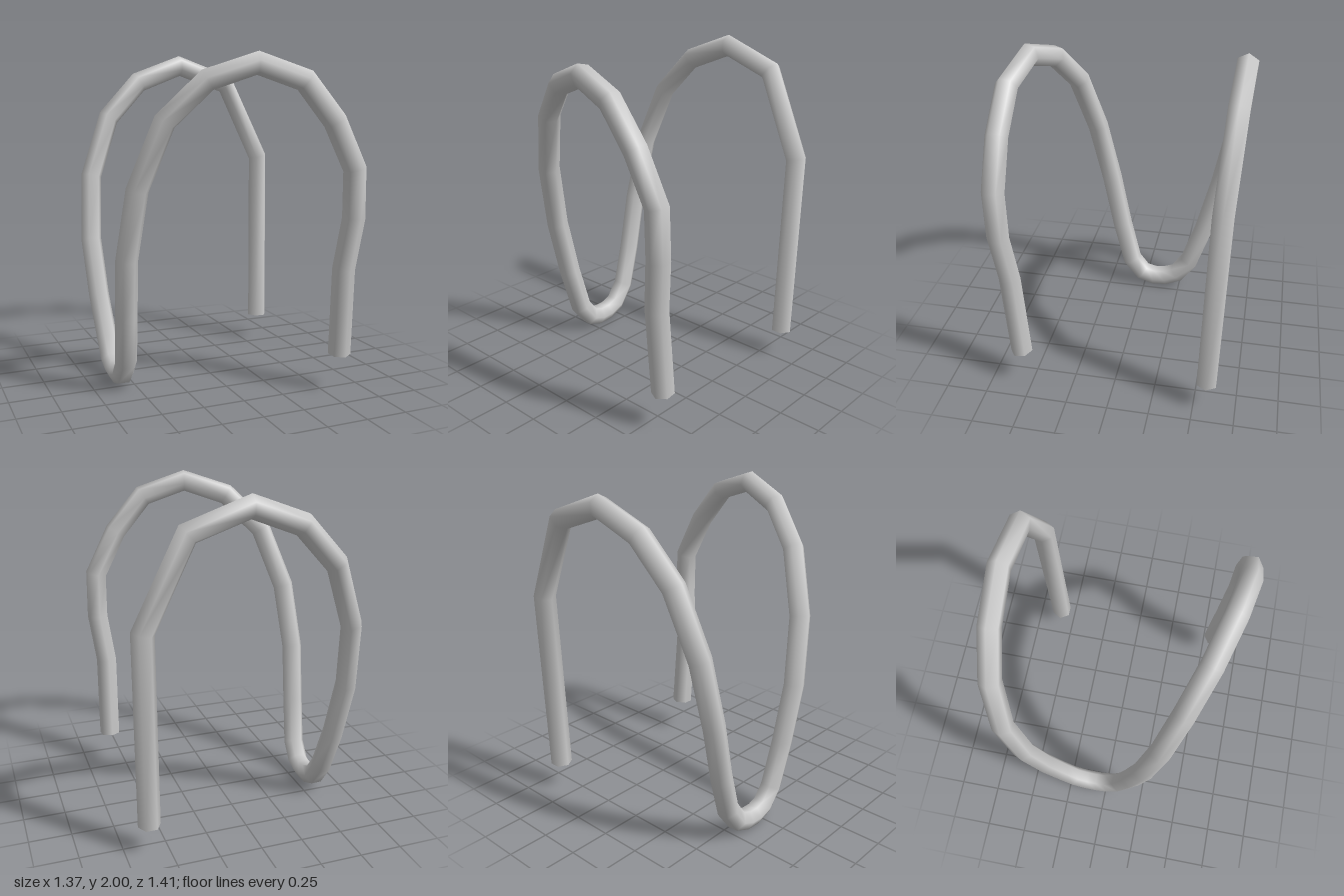
import * as THREE from 'three';

const SIDES = 6;
const RADIUS = 0.066;

// Centre line, from the back foot over both arches to the front foot
const PATH = [
  [0.61, 0.18, -0.573], [0.62, 1.32, -0.605], [0.385, 1.82, -0.635], [0.05, 1.94, -0.648],
  [-0.24, 1.83, -0.643], [-0.455, 1.6, -0.623], [-0.59, 1.23, -0.575], [-0.62, 0.83, -0.495],
  [-0.6, 0.48, -0.405], [-0.578, 0.22, -0.315], [-0.576, 0.105, -0.23], [-0.576, 0.07, -0.145],
  [-0.576, 0.065, -0.065], [-0.576, 0.09, 0.015], [-0.578, 0.19, 0.095], [-0.595, 0.475, 0.17],
  [-0.61, 0.83, 0.245], [-0.57, 1.23, 0.328], [-0.44, 1.6, 0.415], [-0.23, 1.82, 0.505],
  [0.03, 1.91, 0.58], [0.29, 1.82, 0.63], [0.475, 1.6, 0.642], [0.615, 1.33, 0.638],
  [0.62, 1.05, 0.632], [0.582, 0.75, 0.6], [0.592, 0.23, 0.56],
].map((p) => new THREE.Vector3(...p));

// Polyline whose rings sit exactly on the bends, along the bisecting planes
class BentPath extends THREE.Curve {
  getPointAt(t, target = new THREE.Vector3()) {
    return target.copy(PATH[Math.round(t * (PATH.length - 1))]);
  }
  getTangentAt(t, target = new THREE.Vector3()) {
    const i = Math.round(t * (PATH.length - 1));
    const before = PATH[i].clone().sub(PATH[Math.max(i - 1, 0)]).normalize();
    const after = PATH[Math.min(i + 1, PATH.length - 1)].clone().sub(PATH[i]).normalize();
    return target.copy(before).add(after).normalize();
  }
}

// Flat cap over one ring of the tube
function endCap(tube, ring, flip) {
  const pos = tube.attributes.position;
  const points = [];
  for (let i = 0; i < SIDES; i++) {
    points.push(new THREE.Vector3().fromBufferAttribute(pos, ring * (SIDES + 1) + i));
  }
  const corners = [];
  for (let i = 1; i < SIDES - 1; i++) {
    corners.push(points[0], ...(flip ? [points[i + 1], points[i]] : [points[i], points[i + 1]]));
  }
  const geometry = new THREE.BufferGeometry().setFromPoints(corners);
  geometry.computeVertexNormals();
  return geometry;
}

export function createModel() {
  const group = new THREE.Group();
  group.name = 'bentTubeRack';
  const material = new THREE.MeshStandardMaterial({ color: 0xcccccc, side: THREE.DoubleSide });
  const add = (name, geometry) => {
    const mesh = new THREE.Mesh(geometry, material);
    mesh.name = name;
    group.add(mesh);
  };

  const last = PATH.length - 1;
  const tube = new THREE.TubeGeometry(new BentPath(), last, RADIUS, SIDES, false);
  add('tube', tube);
  add('backFootCap', endCap(tube, 0, false));
  add('frontFootCap', endCap(tube, last, true));
  return group;
}
